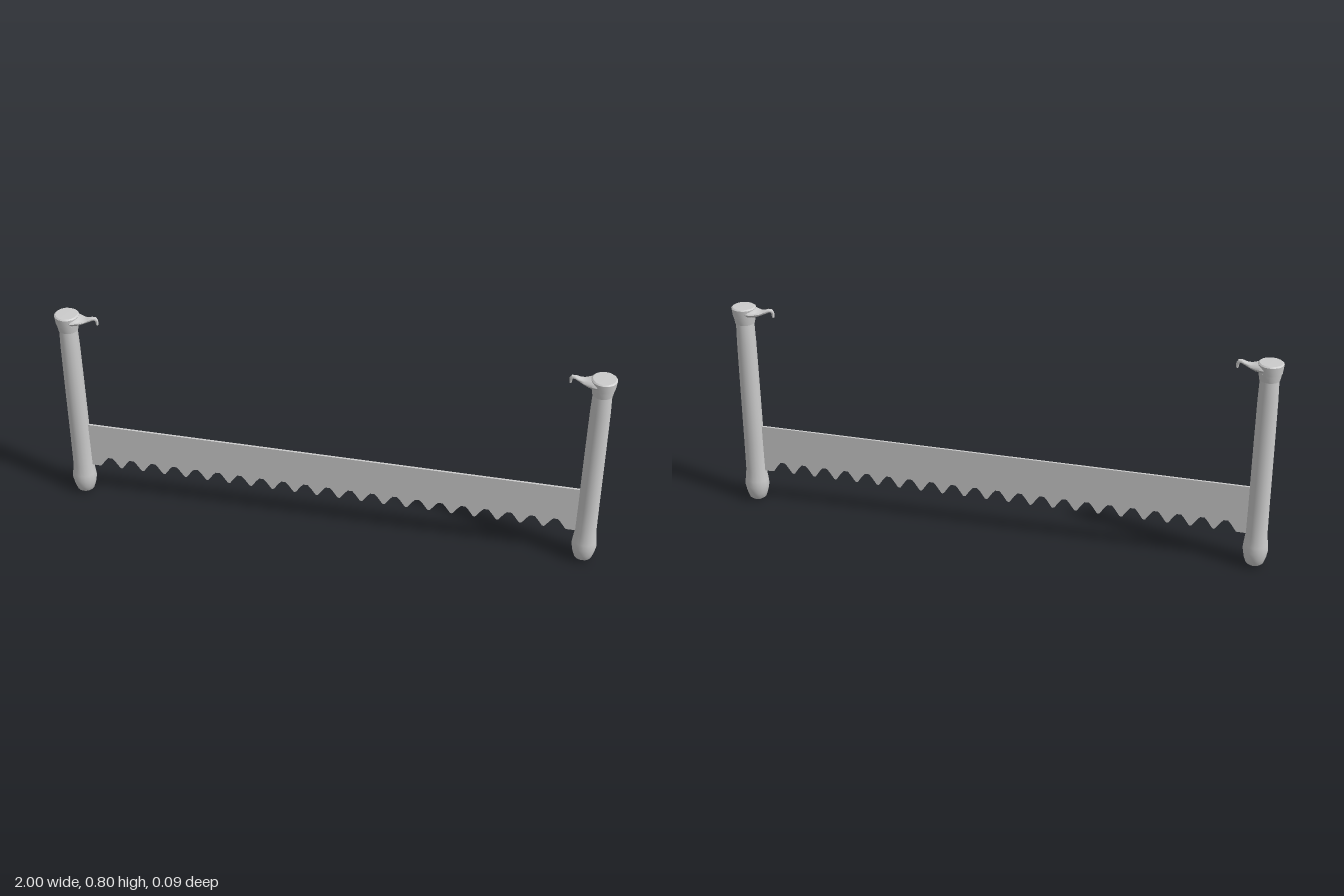
import * as THREE from 'three';
import { toCreasedNormals } from 'three/addons/utils/BufferGeometryUtils.js';

const material = new THREE.MeshStandardMaterial({ color: 0xcccccc });

function part(name, geometry, crease = 0.6) {
  const mesh = new THREE.Mesh(toCreasedNormals(geometry, crease), material);
  mesh.name = name;
  return mesh;
}

function lathe(points, sides = 16) {
  return new THREE.LatheGeometry(points.map(([r, y]) => new THREE.Vector2(r, y)), sides);
}

// Elliptical loft; each section is [x, y, half height, half width, heading in xy]
function loft(sections, sides = 12) {
  const pos = [], index = [];
  for (const [x, y, h, w, a] of sections) {
    for (let i = 0; i < sides; i++) {
      const t = (i / sides) * Math.PI * 2;
      const u = h * Math.cos(t);
      pos.push(x - Math.sin(a) * u, y + Math.cos(a) * u, w * Math.sin(t));
    }
  }
  const last = sections.length - 1;
  for (let s = 0; s < last; s++) {
    for (let i = 0; i < sides; i++) {
      const a = s * sides + i, b = s * sides + (i + 1) % sides;
      index.push(a, b, a + sides, b, b + sides, a + sides);
    }
  }
  for (let i = 1; i < sides - 1; i++) {
    index.push(0, i + 1, i);
    index.push(last * sides, last * sides + i, last * sides + i + 1);
  }
  const g = new THREE.BufferGeometry();
  g.setAttribute('position', new THREE.Float32BufferAttribute(pos, 3));
  g.setIndex(index);
  g.computeVertexNormals();
  return g;
}

// Thin blade with pointed teeth and rounded gullets along the lower edge
function bladeGeometry() {
  const end = 0.93, first = 0.885, count = 21, step = (2 * first) / count;
  const shape = new THREE.Shape();
  shape.moveTo(-end, 0.315);
  shape.lineTo(-end, 0.128);
  shape.lineTo(-first, 0.128);
  const gullet = [[0.06, 0.13], [0.27, 0.156], [0.4, 0.169], [0.6, 0.169], [0.73, 0.156], [0.94, 0.13], [1, 0.128]];
  for (let i = 0; i < count; i++) {
    for (const [t, y] of gullet) shape.lineTo(-first + (i + t) * step, y);
  }
  shape.lineTo(end, 0.128);
  shape.lineTo(end, 0.315);
  shape.closePath();
  const g = new THREE.ExtrudeGeometry(shape, { depth: 0.008, bevelEnabled: false });
  g.translate(0, 0, -0.004);
  return g;
}

// Upright handle, with its hook pointing towards +x
function handle(name) {
  const group = new THREE.Group();
  group.name = name;

  const grip = part('grip', lathe([
    [0, 0.003], [0.02, 0.005], [0.031, 0.014], [0.039, 0.038], [0.044, 0.066],
    [0.042, 0.09], [0.037, 0.13], [0.036, 0.25], [0.035, 0.5], [0.034, 0.66], [0.032, 0.74], [0, 0.74],
  ]));
  grip.scale.x = 1.04;
  grip.position.x = -0.954;

  const collar = part('collar', lathe([
    [0, 0.737], [0.036, 0.737], [0.041, 0.767], [0, 0.767],
  ]));
  collar.position.x = -0.954;

  const cap = part('cap', lathe([
    [0, 0.763], [0.041, 0.763], [0.045, 0.797], [0.04, 0.801], [0, 0.802],
  ]));
  cap.position.x = -0.955;

  // Tapering spout that dips, rises and curls down at the tip
  const hook = part('hook', loft([
    [-0.955, 0.782, 0.019, 0.042, 0],
    [-0.925, 0.781, 0.018, 0.037, 0],
    [-0.905, 0.78, 0.014, 0.029, 0],
    [-0.888, 0.782, 0.009, 0.02, 0.2],
    [-0.872, 0.787, 0.007, 0.013, 0.35],
    [-0.858, 0.793, 0.007, 0.009, 0.25],
    [-0.848, 0.793, 0.007, 0.007, -0.5],
    [-0.843, 0.786, 0.006, 0.006, -1.2],
    [-0.842, 0.769, 0.004, 0.005, -1.57],
  ]), 0.9);

  group.add(grip, collar, cap, hook);
  return group;
}

export function createModel() {
  const model = new THREE.Group();
  model.name = 'twoHandedSaw';
  const rightHandle = handle('rightHandle');
  const leftHandle = handle('leftHandle');
  leftHandle.rotation.y = Math.PI;
  model.add(part('blade', bladeGeometry(), 0.3), rightHandle, leftHandle);
  return model;
}
